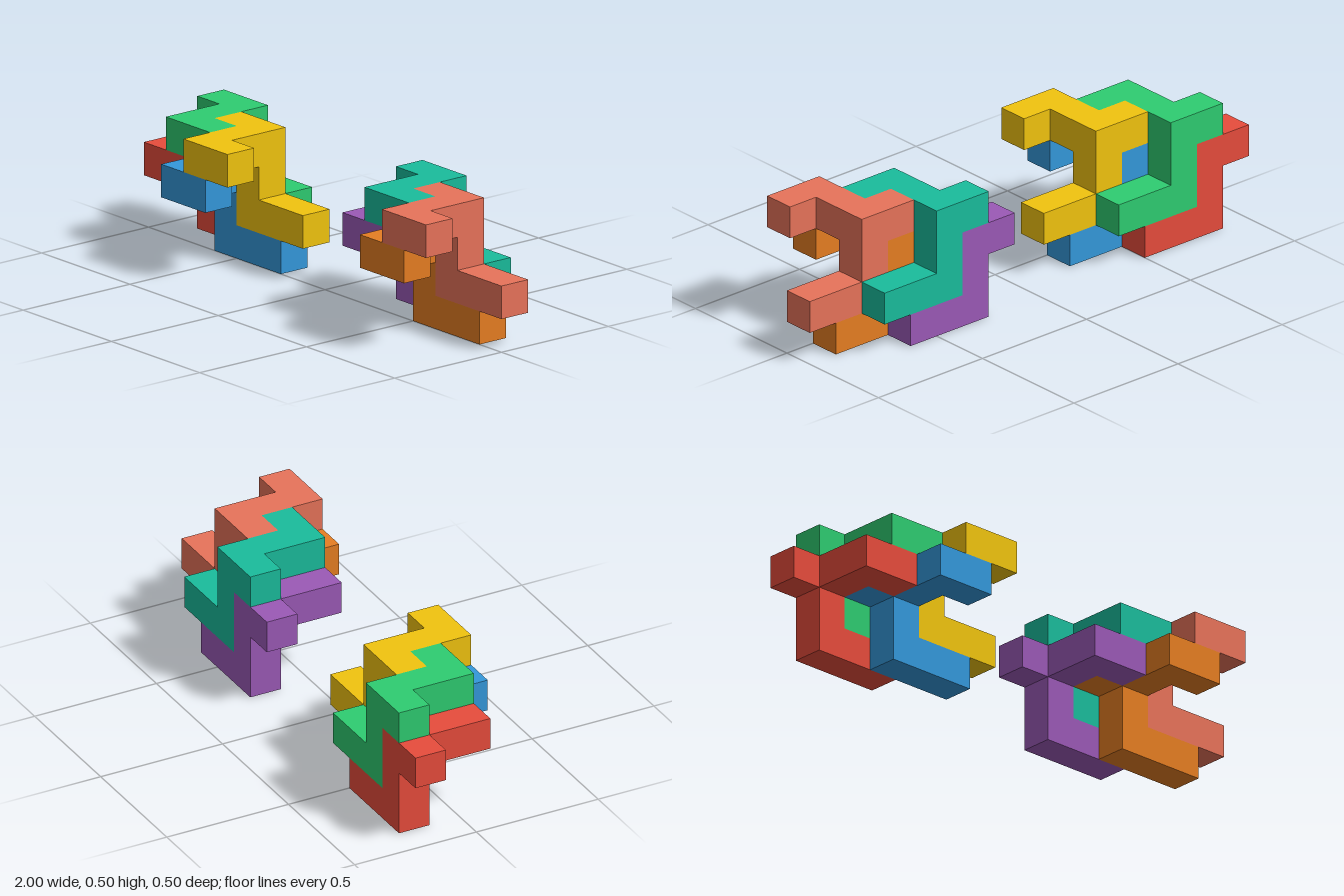
import * as THREE from 'three';
import { mergeGeometries } from 'three/addons/utils/BufferGeometryUtils.js';

const UNIT = 0.125;

// One puzzle piece: cubes as [x, y, z] grid cells
const CELLS = [
  [1, 0, 0], [2, 0, 0], [3, 0, 0],  // foot bar along the back
  [1, 1, 0],                        // riser
  [0, 2, 0], [1, 2, 0],             // upper zigzag, back to front
  [1, 2, 1],
  [1, 2, 2], [2, 2, 2],
];

// Grid offset of each of the four interlocking pieces in a cluster
const OFFSETS = [[0, 0, 0], [1, 1, 0], [2, 0, 1], [3, 1, 1]];
const NAMES = ['lowerBackPiece', 'upperBackPiece', 'lowerFrontPiece', 'upperFrontPiece'];

const DIRECTIONS = [
  [1, 0, 0], [-1, 0, 0], [0, 1, 0], [0, -1, 0], [0, 0, 1], [0, 0, -1],
].map((d) => new THREE.Vector3(...d));

// Outer skin of the joined cubes: a square wherever a cell has no neighbour
function pieceGeometry() {
  const filled = new Set(CELLS.map((c) => c.join()));
  const forward = new THREE.Vector3(0, 0, 1);
  const faces = [];
  for (const cell of CELLS) {
    const position = new THREE.Vector3(...cell);
    for (const d of DIRECTIONS) {
      if (filled.has(position.clone().add(d).toArray().join())) continue;
      const face = new THREE.PlaneGeometry(1, 1);
      face.applyQuaternion(new THREE.Quaternion().setFromUnitVectors(forward, d));
      const centre = position.clone().addScalar(0.5).addScaledVector(d, 0.5);
      faces.push(face.translate(centre.x, centre.y, centre.z));
    }
  }
  return mergeGeometries(faces).scale(UNIT, UNIT, UNIT);
}

// Four identical pieces nested together
function cluster(name, x, colors, geometry) {
  const group = new THREE.Group();
  group.name = name;
  OFFSETS.forEach((offset, i) => {
    const material = new THREE.MeshStandardMaterial({ color: colors[i] });
    const piece = new THREE.Mesh(geometry, material);
    piece.name = NAMES[i];
    piece.position.set(...offset).multiplyScalar(UNIT);
    group.add(piece);
  });
  group.position.set(x, 0, -2 * UNIT);
  return group;
}

export function createModel() {
  const model = new THREE.Group();
  model.name = 'interlockingPieces';
  const geometry = pieceGeometry();
  model.add(
    cluster('rightCluster', -1, [0xe74c3c, 0x2ecc71, 0x3498db, 0xf1c40f], geometry),
    cluster('leftCluster', 0.125, [0x9b59b6, 0x1abc9c, 0xe67e22, 0xe8735a], geometry),
  );
  return model;
}
